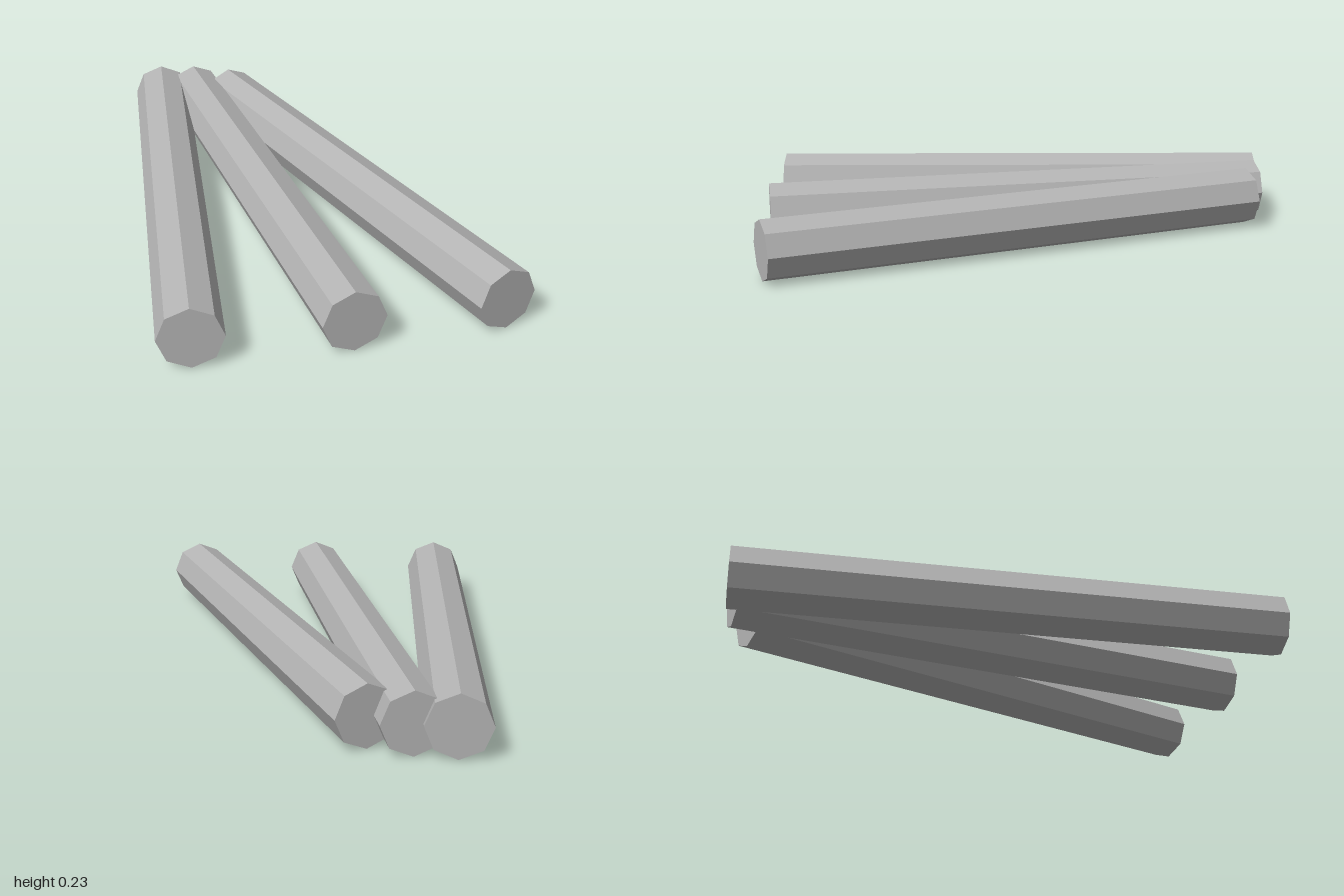
import * as THREE from 'three';

export function createModel() {
  const group = new THREE.Group();
  const grey = new THREE.MeshStandardMaterial({ color: 0xb4b4b4 });
  grey.name = 'grey';
  grey.flatShading = true;

  const radius = 0.1137;
  const length = 1.995;

  // Octagonal log lying along z, resting on a corner
  const geometry = new THREE.CylinderGeometry(radius, radius, length, 8);
  geometry.rotateX(Math.PI / 2);

  // Three logs fanned out, each turned a little further than the last
  for (let i = 0; i < 3; i++) {
    const log = new THREE.Mesh(geometry, grey);
    log.name = `log${i + 1}`;
    log.position.set(-0.531 + i * 3 * radius, radius, 0);
    log.rotation.y = i * 0.2;
    group.add(log);
  }
  return group;
}
